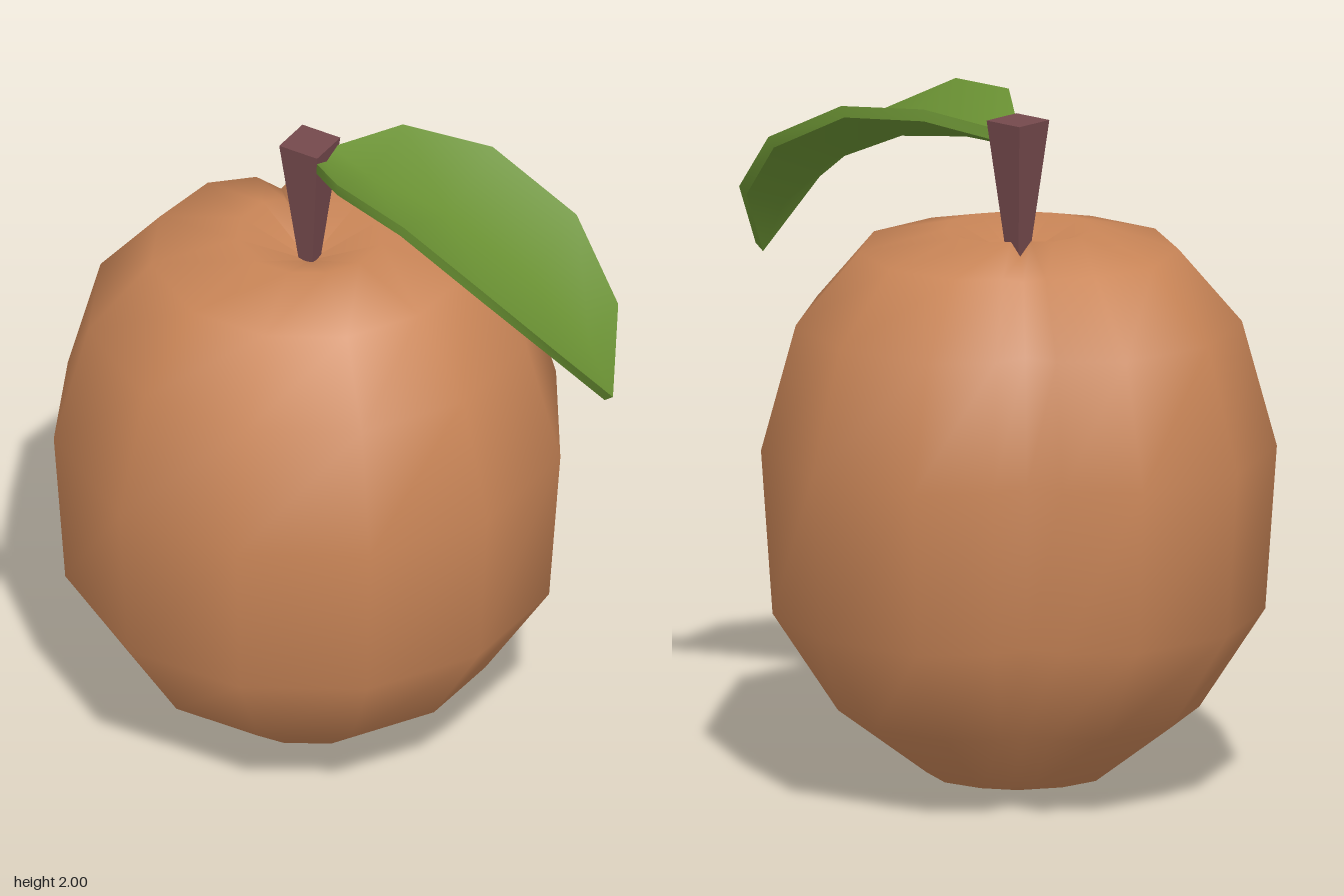
import * as THREE from 'three';
import { toCreasedNormals } from 'three/addons/utils/BufferGeometryUtils.js';

const fruitSkin = new THREE.MeshStandardMaterial({ name: 'fruit orange', color: 0xc98557 });
const leafGreen = new THREE.MeshStandardMaterial({ name: 'leaf green', color: 0x6a9133 });
const stemBrown = new THREE.MeshStandardMaterial({ name: 'stem brown', color: 0x74494c });

// Skins a stack of equally sized closed rings of [x, y, z] points
function loft(rings) {
  const n = rings[0].length;
  const index = [];
  for (let i = 0; i < rings.length - 1; i++) {
    for (let j = 0; j < n; j++) {
      const k = (j + 1) % n;
      const a = i * n + j, b = i * n + k, c = b + n, d = a + n;
      index.push(a, b, c, a, c, d);
    }
  }
  const geometry = new THREE.BufferGeometry();
  geometry.setAttribute('position', new THREE.Float32BufferAttribute(rings.flat(2), 3));
  geometry.setIndex(index);
  geometry.computeVertexNormals();
  return geometry;
}

// Fruit: one half outline with a groove at the back, mirrored and scaled per level
function makeFruit() {
  const half = [[0, 0.74], [0.37, 0.64], [0.65, 0.37], [0.74, -0.06], [0.61, -0.43], [0.33, -0.65], [0.1, -0.645], [0, -0.57]];
  const outline = [...half, ...half.slice(1, -1).reverse().map(([x, z]) => [-x, z])];
  // height, scale, how far the groove sinks
  const levels = [
    [0.06, 0.355, 0], [0.25, 0.7, 0], [0.54, 0.955, 0], [1.02, 1, 0],
    [1.385, 0.865, 0], [1.595, 0.62, 0.02], [1.655, 0.285, 0.05],
  ];
  const rings = levels.map(([y, s, sink]) => outline.map(([x, z], j) => [x * s, j === 7 ? y - sink : y, z * s]));
  const geometry = loft(rings);

  // Close the bottom and the dimple with single shared points so shading stays smooth
  const position = [...geometry.attributes.position.array, 0, 0, 0, 0, 1.56, 0];
  const index = [...geometry.index.array];
  const n = outline.length, bottom = n * levels.length, top = bottom + 1, last = n * (levels.length - 1);
  for (let j = 0; j < n; j++) {
    const k = (j + 1) % n;
    index.push(bottom, k, j, top, last + j, last + k);
  }
  geometry.setAttribute('position', new THREE.Float32BufferAttribute(position, 3));
  geometry.setIndex(index);
  geometry.computeVertexNormals();
  const mesh = new THREE.Mesh(geometry, fruitSkin);
  mesh.name = 'fruit';
  mesh.position.set(-0.02, 0, -0.07);
  return mesh;
}

// Stem: four-sided, widening upwards
function makeStem() {
  const geometry = toCreasedNormals(new THREE.CylinderGeometry(0.09, 0.03, 0.42, 4), 0.5);
  const mesh = new THREE.Mesh(geometry, stemBrown);
  mesh.name = 'stem';
  mesh.position.set(-0.02, 1.76, -0.07);
  return mesh;
}

// Leaf: folded along its midrib, arching diagonally forward to the left
function makeLeaf() {
  // midrib x, half width per axis, edge height, midrib height, thickness inward and down
  const stations = [
    [0.012, 0.033, 1.945, 1.925, 0, 0.035],
    [0.122, 0.128, 2.0, 1.925, 0, 0.035],
    [0.308, 0.172, 1.98, 1.885, 0.008, 0.032],
    [0.508, 0.172, 1.845, 1.765, 0.015, 0.028],
    [0.645, 0.11, 1.655, 1.6, 0.02, 0.02],
    [0.7, 0, 1.45, 1.45, 0.02, 0.02],
  ];
  const rings = stations.map(([m, w, edge, mid, inward, down]) => {
    const z = m - 0.045;
    const upper = [[m + w, edge, z - w], [m, mid, z], [m - w, edge, z + w]];
    const lower = upper.map(([px, py, pz]) => [px - inward, py - down, pz - inward]).reverse();
    return [...upper, ...lower];
  });
  // Close the stem end
  rings.unshift(rings[0].map(() => [0.012, 1.91, -0.033]));
  const mesh = new THREE.Mesh(toCreasedNormals(loft(rings), 0.9), leafGreen);
  mesh.name = 'leaf';
  return mesh;
}

export function createModel() {
  const model = new THREE.Group();
  model.name = 'stone fruit';
  model.add(makeFruit(), makeStem(), makeLeaf());
  return model;
}
